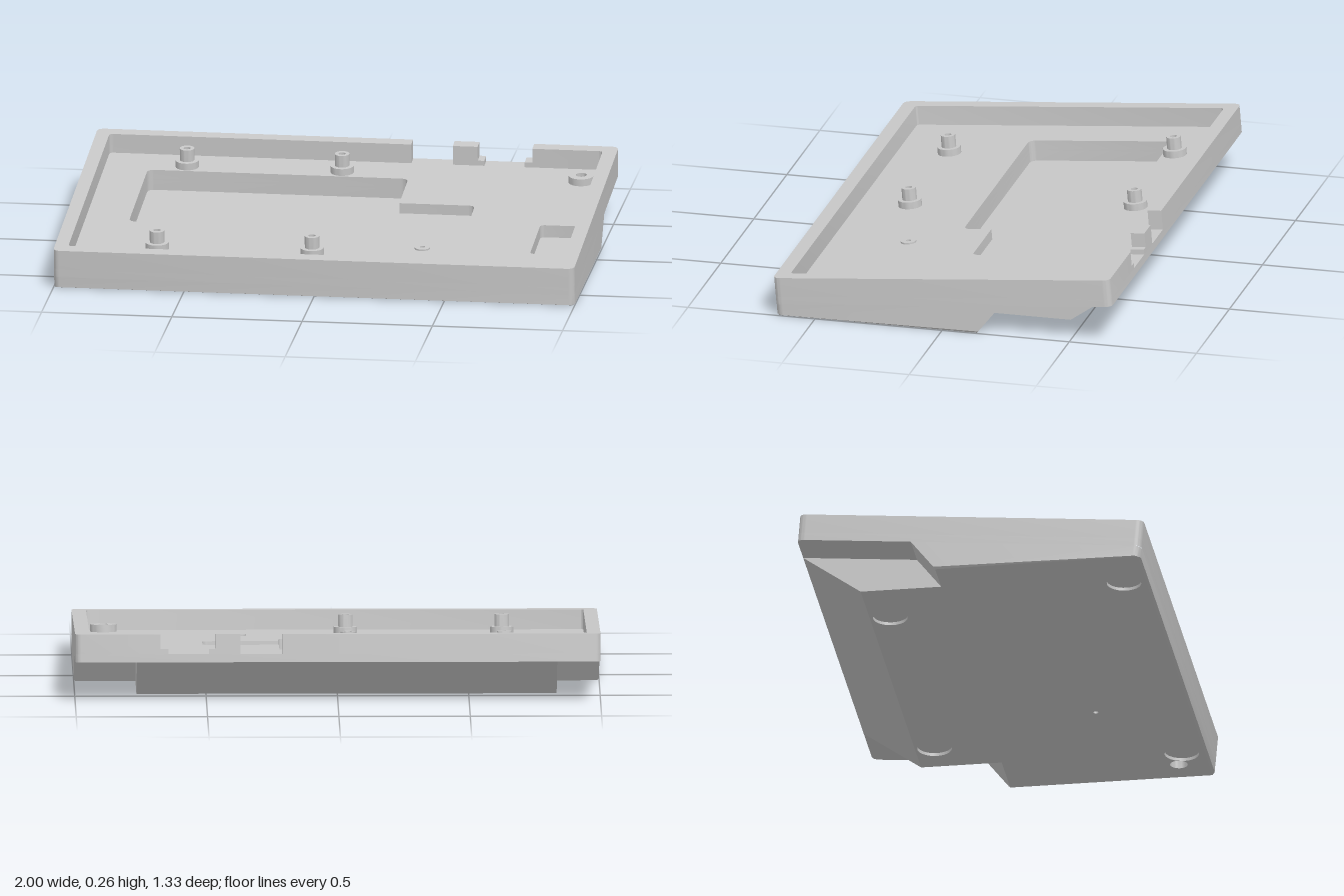
import * as THREE from 'three';
import { toCreasedNormals } from 'three/addons/utils/BufferGeometryUtils.js';

// The tray is designed in a tilted frame: its rim lies on local y = 0, depth d goes down.
const TILT = THREE.MathUtils.degToRad(4.88), SIN = Math.sin(TILT), COS = Math.cos(TILT);
const Y0 = 0.2065, Z0 = 0.005;
const FLOOR = 0.076, SLAB = 0.107, LEDGE = 0.117, HALF = 0.664, R = 0.03;

const toWorld = (x, d, z) => [x, Y0 - d * COS - z * SIN, Z0 + z * COS - d * SIN];

// Outline from [x, z, cornerRadius] points
function outline(points, Type = THREE.Shape) {
  const path = new Type();
  points.forEach(([x, z, r = 0], i) => {
    const p = new THREE.Vector2(x, z);
    const prev = points[(i + points.length - 1) % points.length];
    const next = points[(i + 1) % points.length];
    const a = new THREE.Vector2(prev[0], prev[1]).sub(p).setLength(r).add(p);
    const b = new THREE.Vector2(next[0], next[1]).sub(p).setLength(r).add(p);
    if (i === 0) path.moveTo(a.x, a.y); else path.lineTo(a.x, a.y);
    if (r > 0) path.quadraticCurveTo(x, z, b.x, b.y);
  });
  path.closePath();
  return path;
}

const rect = (x0, x1, z0, z1, r) => [[x0, z0, r], [x1, z0, r], [x1, z1, r], [x0, z1, r]];

function circle(x, z, r) {
  return new THREE.Path().absarc(x, z, r, 0, Math.PI * 2, true);
}

function fromVertices(verts, crease) {
  const g = new THREE.BufferGeometry();
  g.setAttribute('position', new THREE.Float32BufferAttribute(verts, 3));
  return toCreasedNormals(g, crease);
}

// Extrude an outline downwards from depth d0 to d1
function sink(shape, d0, d1) {
  const g = new THREE.ExtrudeGeometry(shape, { depth: d1 - d0, bevelEnabled: false, curveSegments: 8 });
  return g.rotateX(Math.PI / 2).translate(0, -d0, 0);
}

// Rebuild a solid without its caps; flip turns it inside out, to make a cavity
function shell(geometry, { top = false, bottom = false, flip = false }) {
  const g = geometry.index ? geometry.toNonIndexed() : geometry;
  const p = g.attributes.position, verts = [], n = new THREE.Vector3();
  for (let i = 0; i < p.count; i += 3) {
    const [a, b, c] = [0, 1, 2].map(k => new THREE.Vector3().fromBufferAttribute(p, i + k));
    THREE.Triangle.getNormal(a, b, c, n);
    if ((n.y > 0.99 && !top) || (n.y < -0.99 && !bottom)) continue;
    for (const v of flip ? [a, c, b] : [a, b, c]) verts.push(v.x, v.y, v.z);
  }
  return fromVertices(verts, 0.6);
}

const raised = geometry => shell(geometry, { top: true });
const cavity = geometry => shell(geometry, { bottom: true, flip: true });

export function createModel() {
  const grey = new THREE.MeshStandardMaterial({ color: 0xc8c8c8 });
  grey.name = 'plainGrey';
  const model = new THREE.Group();
  model.name = 'wedgeTray';
  const tray = new THREE.Group();
  tray.name = 'tiltedTray';
  tray.position.set(0, Y0, Z0);
  tray.rotation.x = TILT;
  model.add(tray);

  const add = (parent, name, geometry) => {
    const mesh = new THREE.Mesh(geometry, grey);
    mesh.name = name;
    parent.add(mesh);
    return mesh;
  };

  // Rim wall, open at the back for the connectors
  add(tray, 'rim', raised(sink(outline([
    [0.21, -HALF], [-1, -HALF, R], [-1, HALF, R], [1, HALF, R], [1, -HALF, R], [0.675, -HALF],
    [0.675, -0.61], [0.945, -0.61, 0.015], [0.945, 0.607, 0.015], [-0.948, 0.607, 0.015],
    [-0.948, -0.61, 0.015], [0.21, -0.61],
  ]), 0, FLOOR)));
  for (const [x0, x1, d] of [[0.37, 0.465, 0], [0.465, 0.49, 0.056], [0.645, 0.675, 0.056]]) {
    add(tray, 'connectorBlock', raised(sink(outline(rect(x0, x1, -HALF, -0.61, 0)), d, FLOOR)));
  }

  // Floor with pocket openings and screw holes
  const pockets = [
    [-0.78, -0.441, 0.03], [0.22, -0.441, 0.03], [0.22, -0.177], [0.51, -0.177, 0.025],
    [0.51, 0.01, 0.025], [0.22, 0.01], [0.22, 0.12, 0.03], [-0.78, 0.12, 0.03],
  ];
  const sidePocket = rect(0.785, 0.945, 0.004, 0.316, 0.02);
  const floor = outline(rect(-1, 1, -HALF, HALF, R));
  floor.holes.push(
    outline(pockets, THREE.Path), outline(sidePocket, THREE.Path),
    circle(0.88, -0.476, 0.021), circle(0.88, 0.534, 0.021), circle(0.37, 0.298, 0.01),
  );
  add(tray, 'floor', raised(sink(floor, FLOOR, SLAB)));

  // Pockets below the floor; the small one opens into the large one
  add(tray, 'pocketWalls', shell(sink(outline(pockets), SLAB, LEDGE), { flip: true }));
  add(tray, 'smallPocketFloor', raised(sink(outline(rect(0.22, 0.512, -0.18, 0.012, 0)), LEDGE, LEDGE + 0.006)));
  add(tray, 'largePocket', cavity(sink(outline(rect(-0.78, 0.22, -0.441, 0.12, 0.03)), LEDGE, 0.157)));
  add(tray, 'sidePocket', cavity(sink(outline(sidePocket), SLAB, 0.125)));

  // Turned bosses standing on the floor
  const turned = (name, profile, x, z) => {
    const points = profile.map(([r, y]) => new THREE.Vector2(r, y));
    const g = toCreasedNormals(new THREE.LatheGeometry(points, 28), 0.6);
    add(tray, name, g).position.set(x, -FLOOR, z);
  };
  for (const x of [-0.635, -0.04]) {
    for (const z of [-0.492, 0.398]) {
      turned('standoff', [[0.045, 0], [0.045, 0.027], [0.028, 0.027], [0.028, 0.074],
        [0.013, 0.074], [0.013, 0]], x, z);
    }
  }
  for (const z of [-0.476, 0.534]) {
    turned('screwBoss', [[0.05, 0], [0.05, 0.028], [0.021, 0.028], [0.021, 0]], 0.88, z);
  }
  turned('smallBoss', [[0.03, 0], [0.03, 0.006], [0.01, 0.006], [0.01, 0]], 0.37, 0.298);

  // Ceilings of the two notches under the back corners
  const NOTCH = [0.765, -0.835], RIDGE = -0.225;
  NOTCH.forEach(x => {
    const side = Math.sign(x);
    const ceiling = outline([[x, RIDGE], [side, RIDGE], [side, -HALF, R], [x, -HALF]]);
    if (side > 0) ceiling.holes.push(circle(0.88, -0.476, 0.021));
    add(tray, 'notchCeiling', new THREE.ShapeGeometry(ceiling).rotateX(Math.PI / 2)).position.y = -SLAB;
  });

  // Wedge below the slab: pairs of lower and upper points around its outline
  const ring = [];
  const corner = (side, angle) => {
    const x = side * (1 - R + R * Math.cos(angle)), z = HALF - R + R * Math.sin(angle);
    ring.push([toWorld(x, (Y0 - z * SIN) / COS, z), toWorld(x, SLAB, z)]);
  };
  const N = 6;
  for (let i = 0; i <= N; i++) corner(1, Math.PI / 2 * (1 - i / N));
  const ramp = x => ring.push([[x, 0, -0.135], toWorld(x, SLAB, RIDGE)]);
  const back = x => ring.push([[x, 0, -0.445], toWorld(x, SLAB, -HALF)]);
  ramp(1);
  ramp(NOTCH[0]);
  back(NOTCH[0]);
  back(NOTCH[1]);
  ramp(NOTCH[1]);
  ramp(-1);
  for (let i = 0; i <= N; i++) corner(-1, Math.PI / 2 * i / N);

  // Three rows: inset bottom edge, softened edge, slab underside
  const columns = ring.map(([b, t]) => [
    [THREE.MathUtils.clamp(b[0], -0.993, 0.993), 0, Math.min(b[2], 0.644)],
    b.map((v, k) => v + (t[k] - v) * 0.07),
    t,
  ]);
  const verts = [];
  columns.forEach((c, i) => {
    const n = columns[(i + 1) % columns.length];
    for (let k = 0; k < 2; k++) {
      verts.push(...c[k], ...n[k], ...n[k + 1], ...c[k], ...n[k + 1], ...c[k + 1]);
    }
  });
  add(model, 'wedgeWalls', fromVertices(verts, 0.4));

  // Underside with foot recesses and screw holes
  const feet = [[0.605, -0.37], [-0.585, -0.367], [0.785, 0.555], [-0.765, 0.558]];
  const base = new THREE.Shape(columns.map(c => new THREE.Vector2(c[0][0], c[0][2])));
  feet.forEach(([x, z]) => base.holes.push(circle(x, z, 0.066)));
  base.holes.push(circle(0.88, 0.53, 0.034), circle(0.37, 0.285, 0.01));
  add(model, 'underside', new THREE.ShapeGeometry(base, 14).rotateX(Math.PI / 2));
  const bore = (name, r, h, x, z, closed) => {
    const g = shell(new THREE.CylinderGeometry(r, r, h, 28), { top: closed, flip: true });
    add(model, name, g).position.set(x, h / 2, z);
  };
  feet.forEach(([x, z]) => bore('footRecess', 0.066, 0.012, x, z, true));
  bore('screwBore', 0.034, 0.053, 0.88, 0.53, false);
  bore('smallBore', 0.01, 0.074, 0.37, 0.285, false);
  const seat = new THREE.RingGeometry(0.019, 0.034, 28).rotateX(Math.PI / 2);
  add(model, 'screwSeat', seat).position.set(0.88, 0.053, 0.53);

  return model;
}
